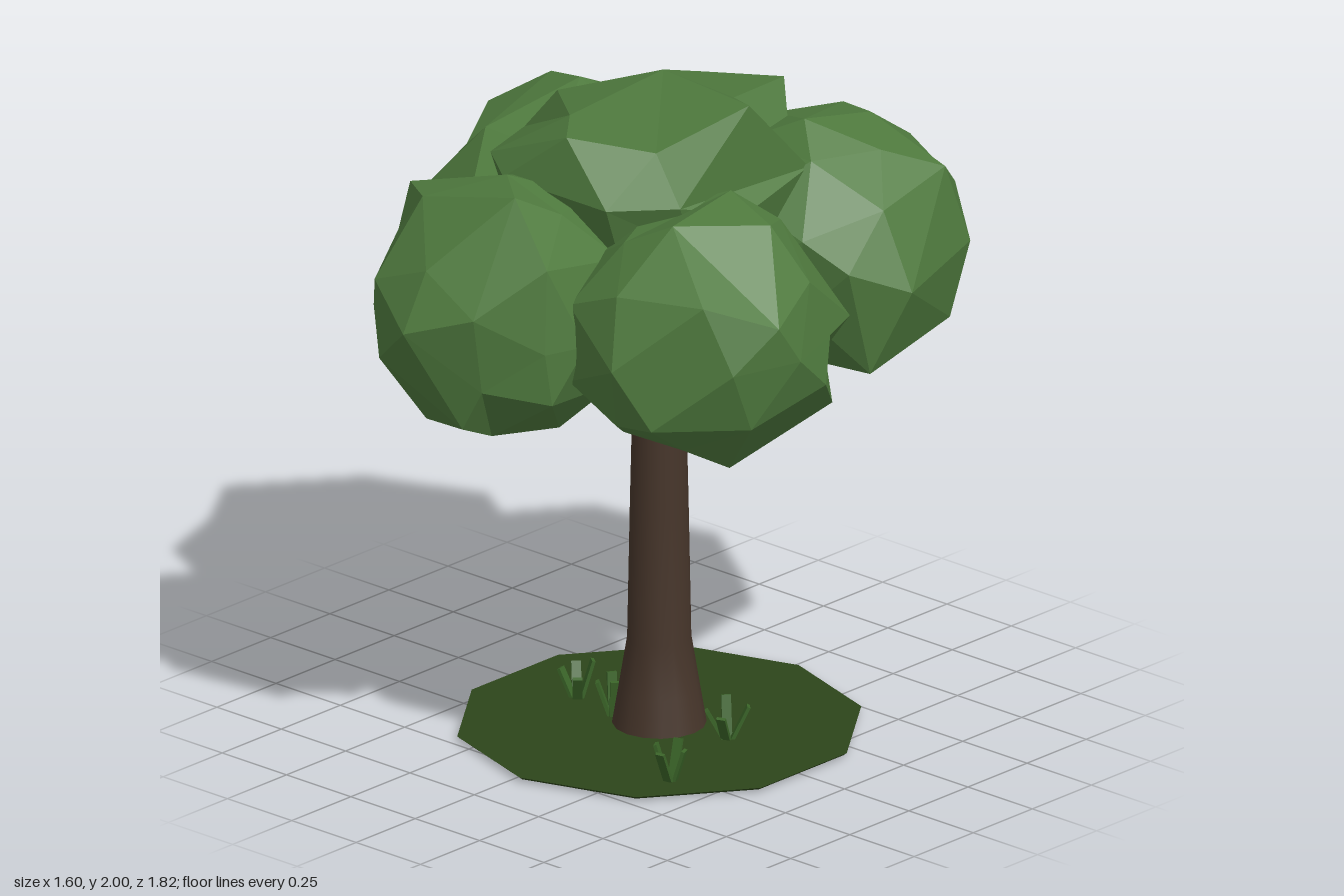
import * as THREE from 'three';
import { mergeVertices } from 'three/addons/utils/BufferGeometryUtils.js';

const paint = (color, flat = true) =>
  new THREE.MeshStandardMaterial({ color, flatShading: flat, side: THREE.DoubleSide });
const bark = paint(0x46352a, false);
const branchBark = paint(0x574032, false);
const leaf = paint(0x4f7a3e);
const soil = paint(0x2d451a);
const blade = paint(0x3a6428);

function seeded(seed) {
  let s = seed;
  return () => (s = (s * 16807) % 2147483647) / 2147483647;
}

function add(parent, name, geometry, material) {
  const mesh = new THREE.Mesh(geometry, material);
  mesh.name = name;
  parent.add(mesh);
}

// Cylinder running between two points
function limb(a, b, r0, r1) {
  const dir = b.clone().sub(a);
  const g = new THREE.CylinderGeometry(r1, r0, dir.length(), 10);
  g.applyQuaternion(new THREE.Quaternion().setFromUnitVectors(
    new THREE.Vector3(0, 1, 0), dir.clone().normalize()));
  return g.translate(...a.clone().add(b).multiplyScalar(0.5).toArray());
}

// Faceted leaf clump: a slightly uneven ellipsoid with its outer corners pulled to set points
function clump({ centre, radii, corners }, seed) {
  const rand = seeded(seed);
  let g = new THREE.IcosahedronGeometry(1, 1);
  g.deleteAttribute('normal');
  g.deleteAttribute('uv');
  g = mergeVertices(g, 1e-3);
  const p = g.attributes.position;
  const c = new THREE.Vector3(...centre), r = new THREE.Vector3(...radii);
  const v = new THREE.Vector3();
  for (let i = 0; i < p.count; i++) {
    v.fromBufferAttribute(p, i).multiplyScalar(0.94 + 0.07 * rand()).multiply(r).add(c);
    p.setXYZ(i, v.x, v.y, v.z);
  }
  // Match by direction from the centre so neighbouring facets do not fold
  const used = new Set();
  for (const q of corners) {
    const aim = new THREE.Vector3(...q).sub(c).divide(r).normalize();
    let best = -1, most = -Infinity;
    for (let i = 0; i < p.count; i++) {
      const d = v.fromBufferAttribute(p, i).sub(c).divide(r).normalize().dot(aim);
      if (!used.has(i) && d > most) { most = d; best = i; }
    }
    used.add(best);
    p.setXYZ(best, ...q);
  }
  g = g.toNonIndexed();
  g.computeVertexNormals();
  return g;
}

const CLUMPS = {
  topLeaves: {
    centre: [0, 1.62, 0], radii: [0.43, 0.36, 0.43],
    corners: [[0, 2, -0.05], [0.37, 2, -0.01], [0.12, 1.9, -0.43], [0, 1.91, 0.36],
      [-0.32, 1.88, 0.05], [-0.15, 1.86, -0.37], [-0.37, 1.77, -0.21], [-0.42, 1.75, 0.08],
      [-0.36, 1.75, 0.29], [-0.2, 1.75, 0.41], [0.2, 1.75, 0.41], [0.36, 1.76, 0.27],
      [0.42, 1.7, 0.05], [0.39, 1.75, -0.24], [0.22, 1.88, 0.22]],
  },
  frontLeaves: {
    centre: [-0.13, 1.39, 0.47], radii: [0.41, 0.4, 0.41],
    corners: [[-0.13, 1.43, 0.91], [0.07, 1.5, 0.83], [0.02, 1.8, 0.6], [-0.46, 1.7, 0.52],
      [-0.55, 1.43, 0.38], [-0.4, 1.4, 0.74], [-0.42, 1.18, 0.6], [-0.2, 0.96, 0.42],
      [0, 1.14, 0.8], [0.27, 1.4, 0.57], [0.2, 1.64, 0.66], [0.22, 1.23, 0.66],
      [-0.32, 1.72, 0.62]],
  },
  leftLeaves: {
    centre: [0.41, 1.4, 0.24], radii: [0.39, 0.38, 0.42],
    corners: [[0.46, 1.4, 0.67], [0.66, 1.6, 0.5], [0.79, 1.52, 0.32], [0.77, 1.28, 0.1],
      [0.56, 1.02, 0.28], [0.6, 1.74, 0.15], [0.45, 1.77, 0.4], [0.55, 1.22, 0.6],
      [0.66, 1.4, -0.12], [0.62, 1.13, -0.09], [0.4, 1.78, 0.1]],
  },
  backLeaves: {
    centre: [0.27, 1.46, -0.45], radii: [0.42, 0.38, 0.42],
    corners: [[0.29, 1.4, -0.91], [0.02, 1.58, -0.8], [0.46, 1.28, -0.75], [0.59, 1.23, -0.62],
      [0.59, 1.7, -0.6], [0.71, 1.42, -0.33], [0.3, 1.85, -0.32], [0.3, 1.79, -0.6],
      [-0.17, 1.36, -0.63], [-0.17, 1.6, -0.5], [0.3, 1.11, -0.6], [0.07, 1.06, -0.46],
      [0.25, 1.06, -0.25], [0.62, 1.17, -0.25], [0.62, 1.5, -0.16]],
  },
  rightLeaves: {
    centre: [-0.41, 1.42, -0.13], radii: [0.38, 0.39, 0.52],
    corners: [[-0.37, 1.45, -0.69], [-0.71, 1.45, -0.56], [-0.8, 1.65, -0.18], [-0.78, 1.27, 0.1],
      [-0.7, 1.5, 0.25], [-0.48, 1.35, 0.39], [-0.46, 1.81, -0.2], [-0.64, 1.06, -0.18],
      [-0.52, 1.01, 0.07], [-0.4, 1.03, -0.47], [-0.14, 1.5, -0.56], [-0.62, 1.77, -0.25],
      [-0.1, 1.06, -0.37], [-0.77, 1.4, -0.35]],
  },
};

export function createModel() {
  const tree = new THREE.Group();
  tree.name = 'tree';
  const base = new THREE.Group();
  base.name = 'base';
  base.position.set(0.03, 0, 0);
  tree.add(base);

  // Ten-sided ground disc, open under the trunk
  const disc = [[0.13, 0.006], [0.58, 0.006], [0.59, 0.014], [0.13, 0.014]]
    .map(([x, y]) => new THREE.Vector2(x, y));
  add(base, 'ground', new THREE.LatheGeometry(disc, 10), soil);

  // Flared trunk
  const profile = [[0.138, 0], [0.118, 0.12], [0.092, 0.28], [0.084, 0.7], [0.076, 1.05], [0.07, 1.22], [0, 1.22]]
    .map(([x, y]) => new THREE.Vector2(x, y));
  add(base, 'trunk', new THREE.LatheGeometry(profile, 16), bark);

  // One short branch towards each side clump
  for (const [x, z] of [[0.45, 0.22], [-0.14, 0.5], [-0.46, -0.16], [0.23, -0.48]]) {
    const d = new THREE.Vector3(x, 0, z).normalize();
    const at = (r, y) => d.clone().multiplyScalar(r).setY(y);
    add(base, 'branch', limb(at(0.085, 0.96), at(0.25, 1.18), 0.038, 0.034), branchBark);
  }

  // Crown
  let seed = 11;
  for (const [name, spec] of Object.entries(CLUMPS)) add(tree, name, clump(spec, seed += 37), leaf);

  // Grass tufts with blades leaning outwards
  const rand = seeded(91);
  for (const [x, z] of [[-0.27, 0.02], [-0.1, 0.05], [0.26, -0.04], [0.36, 0.31]]) {
    const tuft = new THREE.Group();
    tuft.name = 'grassTuft';
    tuft.position.set(x, 0.008, z);
    for (let i = 0; i < 4; i++) {
      const h = 0.1 + 0.035 * rand();
      const g = new THREE.BoxGeometry(0.028, h, 0.01).translate(0, h / 2, 0.01);
      g.rotateX(0.1 + 0.4 * rand()).rotateY(i * Math.PI / 2 + rand());
      add(tuft, 'grassBlade', g, blade);
    }
    tree.add(tuft);
  }
  return tree;
}
